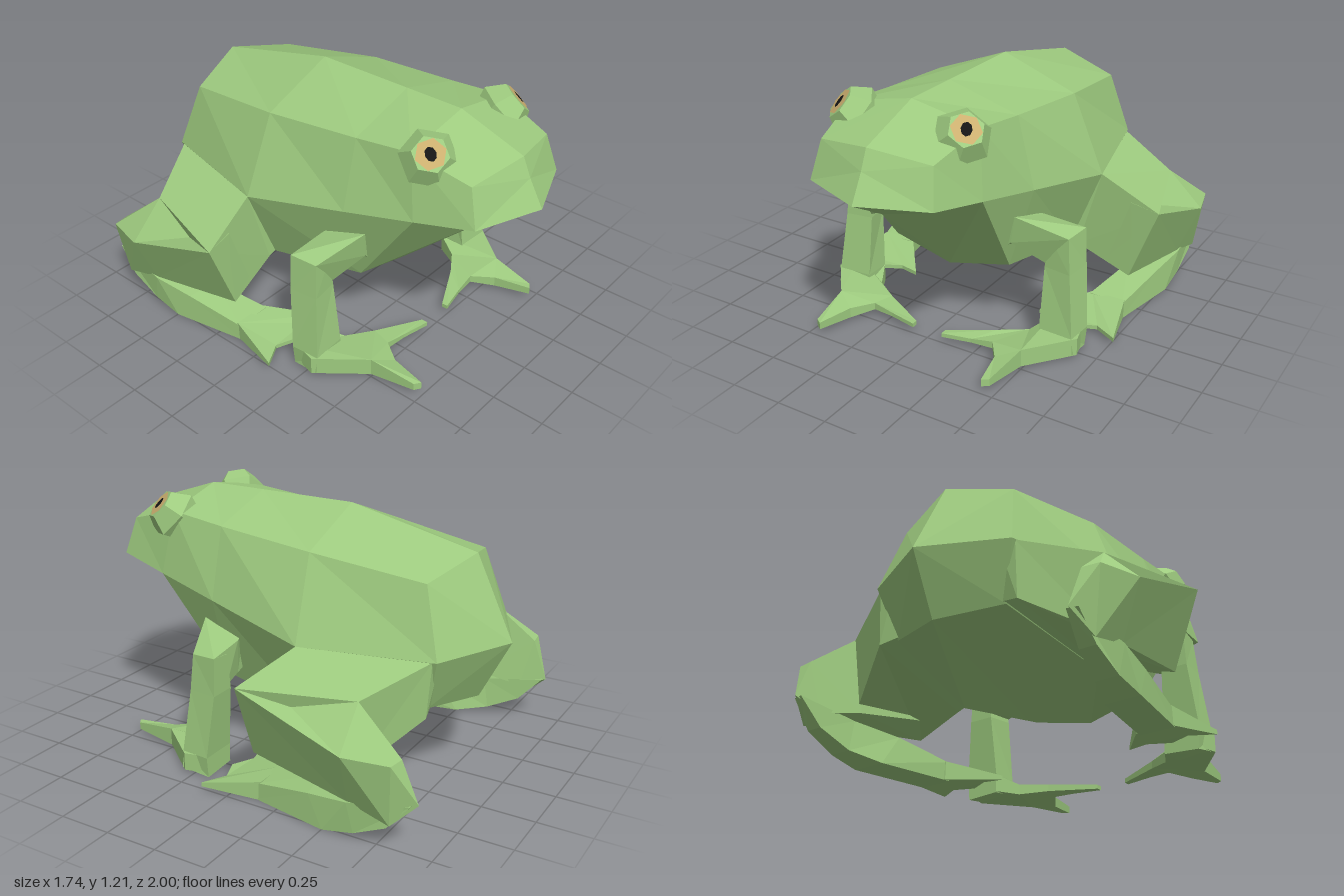
import * as THREE from 'three';

const mat = (color) => new THREE.MeshStandardMaterial({ color, flatShading: true, roughness: 0.9 });
const skin = mat(0x9ecb7f), iris = mat(0xcdb070), pupil = mat(0x151515);
const v = (p) => new THREE.Vector3(...p);

// Closed flat-shaded solid through rings of equal point count; tips override the cap centres.
function loft(rings, tipA, tipB) {
  const mid = (r) => r.reduce((s, p) => s.add(v(p)), new THREE.Vector3()).divideScalar(r.length);
  let tris = [];
  const add = (a, b, c) => {
    const n = b.clone().sub(a).cross(c.clone().sub(a));
    if (n.length() > 1e-6) tris.push([a, b, c]);
  };
  const n = rings[0].length;
  const a0 = tipA ? v(tipA) : mid(rings[0]);
  const b0 = tipB ? v(tipB) : mid(rings.at(-1));
  for (let j = 0; j < n; j++) {
    const k = (j + 1) % n;
    for (let i = 0; i < rings.length - 1; i++) {
      const [a, b, c, d] = [rings[i][j], rings[i][k], rings[i + 1][k], rings[i + 1][j]].map(v);
      add(a, b, c);
      add(a, c, d);
    }
    add(a0, v(rings[0][k]), v(rings[0][j]));
    add(b0, v(rings.at(-1)[j]), v(rings.at(-1)[k]));
  }
  // outward winding from the signed volume
  const vol = tris.reduce((s, [a, b, c]) => s + a.dot(b.clone().cross(c)), 0);
  if (vol < 0) tris = tris.map(([a, b, c]) => [a, c, b]);
  const g = new THREE.BufferGeometry().setFromPoints(tris.flat());
  g.computeVertexNormals();
  return g;
}

// Flat webbed foot: outline in (x, z), top height given by a rule.
function webbed(outline, side, bottom, top) {
  const shape = new THREE.Shape(outline.map(([x, z]) => new THREE.Vector2(x * side, -z)));
  const g = new THREE.ExtrudeGeometry(shape, { depth: 1, bevelEnabled: false });
  g.rotateX(-Math.PI / 2);
  const p = g.attributes.position;
  for (let i = 0; i < p.count; i++) {
    const x = Math.abs(p.getX(i)), z = p.getZ(i);
    p.setY(i, p.getY(i) > 0.5 ? top(x, z) : bottom(x, z));
  }
  g.computeVertexNormals();
  return g;
}

export function createModel() {
  const model = new THREE.Group();
  const part = (name, geometry, material = skin, parent = model) => {
    const m = new THREE.Mesh(geometry, material);
    m.name = name;
    parent.add(m);
    return m;
  };

  // body half sections: spine, ridge, flank, lower flank, belly line
  const half = [
    [[0, 1.09, .89], [.28, 1.05, .83], [.31, .875, .88], [.31, .875, .88], [0, .875, 1]],
    [[0, 1.2, .57], [.33, 1.13, .56], [.37, .83, .61], [.37, .83, .61], [0, .76, .8]],
    [[0, 1.2, .28], [.345, 1.1, .28], [.43, .77, .28], [.31, .37, .28], [0, .305, .3]],
    [[0, 1.2, -.2], [.37, 1.06, -.2], [.52, .68, -.22], [.38, .31, -.2], [0, .165, -.2]],
    [[0, 1.06, -.82], [.31, .99, -.73], [.38, .68, -.82], [.3, .43, -.75], [0, .4, -.86]],
  ];
  const rings = half.map((h) => [...h, ...h.slice(1, 4).reverse().map(([x, y, z]) => [-x, y, z])]);
  part('body', loft(rings, [0, 1.0, .93], [0, .68, -1]));

  for (const s of [1, -1]) {
    const label = s > 0 ? 'left' : 'right';
    const limb = (name, r, a, b) => {
      const m = ([x, y, z]) => [x * s, y, z];
      part(label + name, loft(r.map((q) => q.map(m)), a && m(a), b && m(b)));
    };

    // hind leg: thigh out from the hip, shin folded back to the heel
    limb('Thigh', [
      [[.3, .67, -.22], [.3, .67, -.8], [.25, .45, -.75], [.3, .34, -.2]],
      [[.52, .68, -.22], [.38, .68, -.8], [.38, .42, -.78], [.42, .3, -.2]],
      [[.85, .59, -.13], [.7, .59, -.63], [.68, .25, -.6], [.72, .24, -.13]],
    ]);
    limb('Shin', [
      [[.7, .6, -.16], [.85, .59, -.13], [.72, .24, -.13], [.6, .3, -.16]],
      [[.7, .59, -.63], [.87, .42, -.64], [.77, .17, -.62], [.65, .22, -.6]],
      [[.74, .41, -.85], [.82, .41, -.84], [.78, .12, -.82], [.7, .17, -.8]],
    ], null, [.73, .22, -.925]);
    limb('HindFoot', [
      [[.71, .22, -.91], [.76, .22, -.9], [.77, .1, -.8], [.69, .1, -.8]],
      [[.67, .18, -.62], [.78, .17, -.62], [.77, .03, -.65], [.66, .03, -.65]],
      [[.6, .15, -.4], [.75, .14, -.42], [.77, 0, -.5], [.6, 0, -.5]],
      [[.53, .09, -.13], [.7, .08, -.13], [.7, 0, -.12], [.53, 0, -.12]],
    ]);
    part(label + 'HindToes', webbed(
      [[.7, -.15], [.77, .12], [.66, .06], [.56, .1], [.46, .05], [.36, .07], [.53, -.15]], s,
      (x, z) => (z > 0 ? .025 : 0), (x, z) => (z > 0 ? .045 : .09)));

    // front leg: short upper arm into a straight forearm
    limb('UpperArm', [
      [[.33, .67, .36], [.33, .62, .18], [.33, .44, .18], [.33, .5, .34]],
      [[.38, .66, .36], [.42, .6, .15], [.4, .43, .17], [.35, .52, .34]],
      [[.6, .57, .27], [.62, .58, .14], [.53, .42, .14], [.48, .42, .26]],
    ]);
    limb('Forearm', [
      [[.5, .56, .26], [.6, .57, .27], [.62, .58, .14], [.52, .57, .14]],
      [[.48, .4, .26], [.615, .4, .28], [.63, .4, .14], [.5, .4, .14]],
      [[.48, .1, .3], [.65, .1, .31], [.66, .1, .17], [.48, .1, .17]],
      [[.48, .02, .3], [.66, .02, .31], [.65, 0, .17], [.48, .01, .17]],
    ]);
    part(label + 'FrontFoot', webbed(
      [[.64, .17], [.67, .29], [.5, .5], [.47, .72], [.44, .74], [.4, .56], [.33, .46],
        [.22, .47], [.08, .5], [.08, .47], [.3, .36], [.42, .28], [.48, .17]], s,
      (x, z) => (z > .6 || x < .35 ? .03 : .015),
      (x, z) => (x > .46 && z < .52 ? .1 : z > .6 ? .065 : x < .25 ? .05 : .065)));

    // eye mound with iris and pupil, looking outward, up and forward
    const eye = new THREE.Group();
    eye.name = label + 'Eye';
    eye.position.set(.275 * s, 1.1, .61);
    eye.quaternion.setFromUnitVectors(new THREE.Vector3(0, 0, 1), new THREE.Vector3(.55 * s, .65, .5).normalize());
    model.add(eye);
    part(label + 'EyeMound', new THREE.CylinderGeometry(.08, .13, .08, 6).rotateX(Math.PI / 2).translate(0, 0, .035), skin, eye);
    part(label + 'EyeBase', new THREE.CylinderGeometry(.13, .1, .07, 6).rotateX(Math.PI / 2).translate(0, 0, -.04), skin, eye);
    part(label + 'Iris', new THREE.CircleGeometry(.068, 6).translate(0, 0, .078), iris, eye);
    part(label + 'Pupil', new THREE.CircleGeometry(.029, 8).scale(.85, 1.1, 1).translate(0, 0, .081), pupil, eye);
  }
  return model;
}
